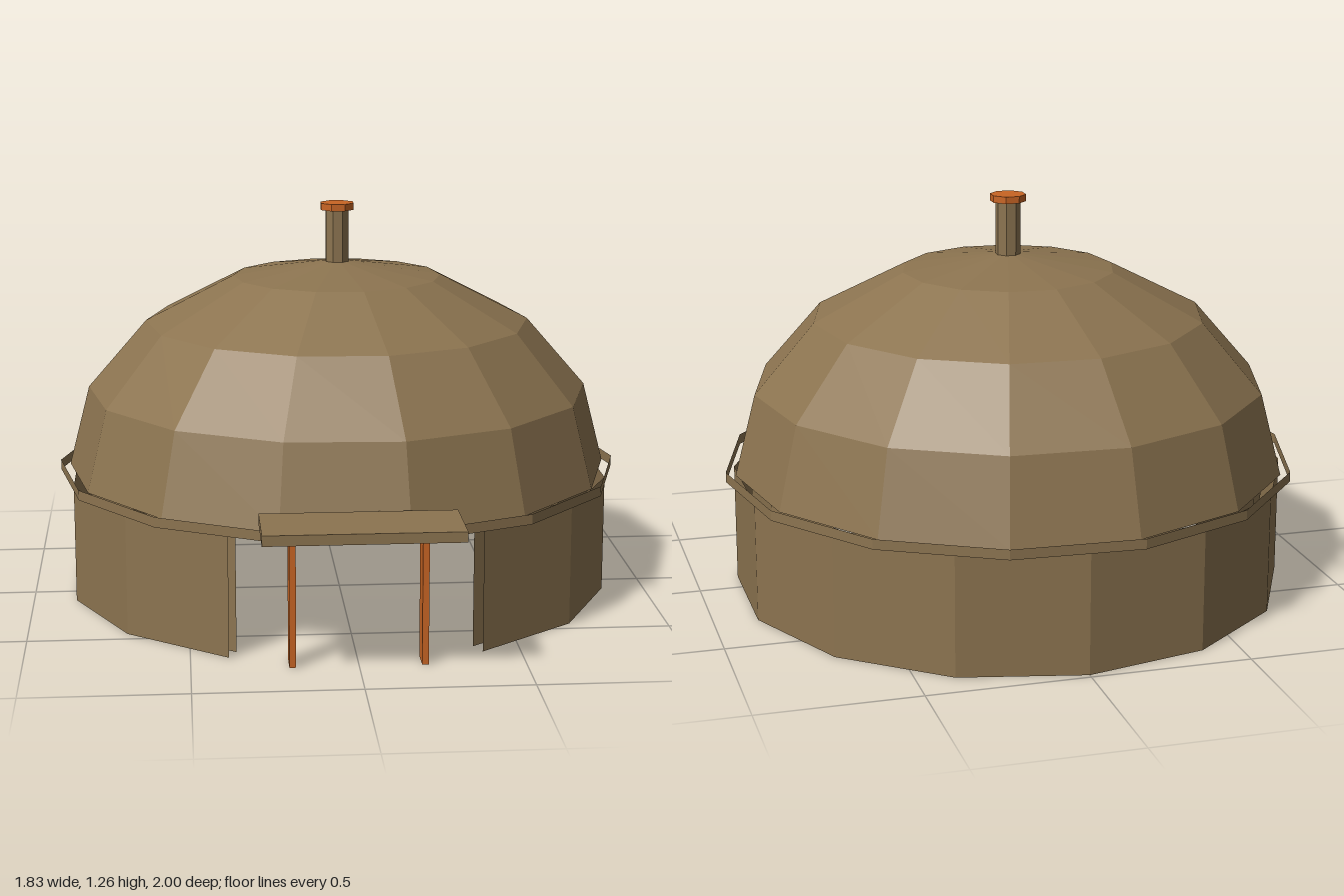
import * as THREE from 'three';

const SIDES = 14;
const STEP = (Math.PI * 2) / SIDES;
const CENTER_Z = -0.1;
const TWIST = 0.18; // dome and eave are turned slightly against the wall

export function createModel() {
  const model = new THREE.Group();
  model.name = 'domeHut';

  const clay = new THREE.MeshStandardMaterial({ color: 0x8c7450, flatShading: true, side: THREE.DoubleSide });
  clay.name = 'clay brown';
  const orange = new THREE.MeshStandardMaterial({ color: 0xc96524, flatShading: true });
  orange.name = 'trim orange';

  function add(name, geometry, material, x, y, z) {
    const mesh = new THREE.Mesh(geometry, material);
    mesh.name = name;
    mesh.position.set(x, y, z);
    model.add(mesh);
    return mesh;
  }

  // Two wall shells, with two of the fourteen sides left open for the doorway
  for (const [name, radius] of [['outerWall', 0.885], ['innerWall', 0.83]]) {
    const shell = new THREE.CylinderGeometry(radius, radius, 0.38, SIDES - 2, 1, true, STEP, STEP * (SIDES - 2));
    add(name, shell, clay, 0, 0.19, CENTER_Z);
  }

  // Thin eave band around the foot of the dome
  const band = new THREE.CylinderGeometry(0.914, 0.914, 0.032, SIDES, 1, true);
  add('eaveBand', band, clay, 0, 0.396, CENTER_Z).rotation.y = TWIST;

  // Flattened faceted dome
  const profile = [];
  for (let i = 0; i <= 4; i++) {
    const a = (i / 4) * (Math.PI / 2);
    profile.push(new THREE.Vector2(0.883 * Math.cos(a), 0.68 * Math.sin(a)));
  }
  profile[4].x = 0;
  add('dome', new THREE.LatheGeometry(profile, SIDES), clay, 0, 0.4, CENTER_Z).rotation.y = TWIST;

  // Chimney pipe and its cap
  add('chimney', new THREE.CylinderGeometry(0.04, 0.04, 0.18, 8), clay, 0, 1.155, CENTER_Z).rotation.y = Math.PI / 8;
  add('chimneyCap', new THREE.CylinderGeometry(0.057, 0.057, 0.022, 8), orange, 0, 1.254, CENTER_Z).rotation.y = Math.PI / 8;

  // Door frame
  for (const side of [-1, 1]) {
    add(side < 0 ? 'rightDoorPost' : 'leftDoorPost', new THREE.BoxGeometry(0.02, 0.395, 0.08), orange, side * 0.198, 0.1975, 0.761);
  }
  add('lintel', new THREE.BoxGeometry(0.416, 0.022, 0.08), orange, 0, 0.406, 0.761);

  // Flat canopy over the door
  add('canopy', new THREE.BoxGeometry(0.59, 0.032, 0.236), clay, 0, 0.45, 0.882);

  return model;
}
